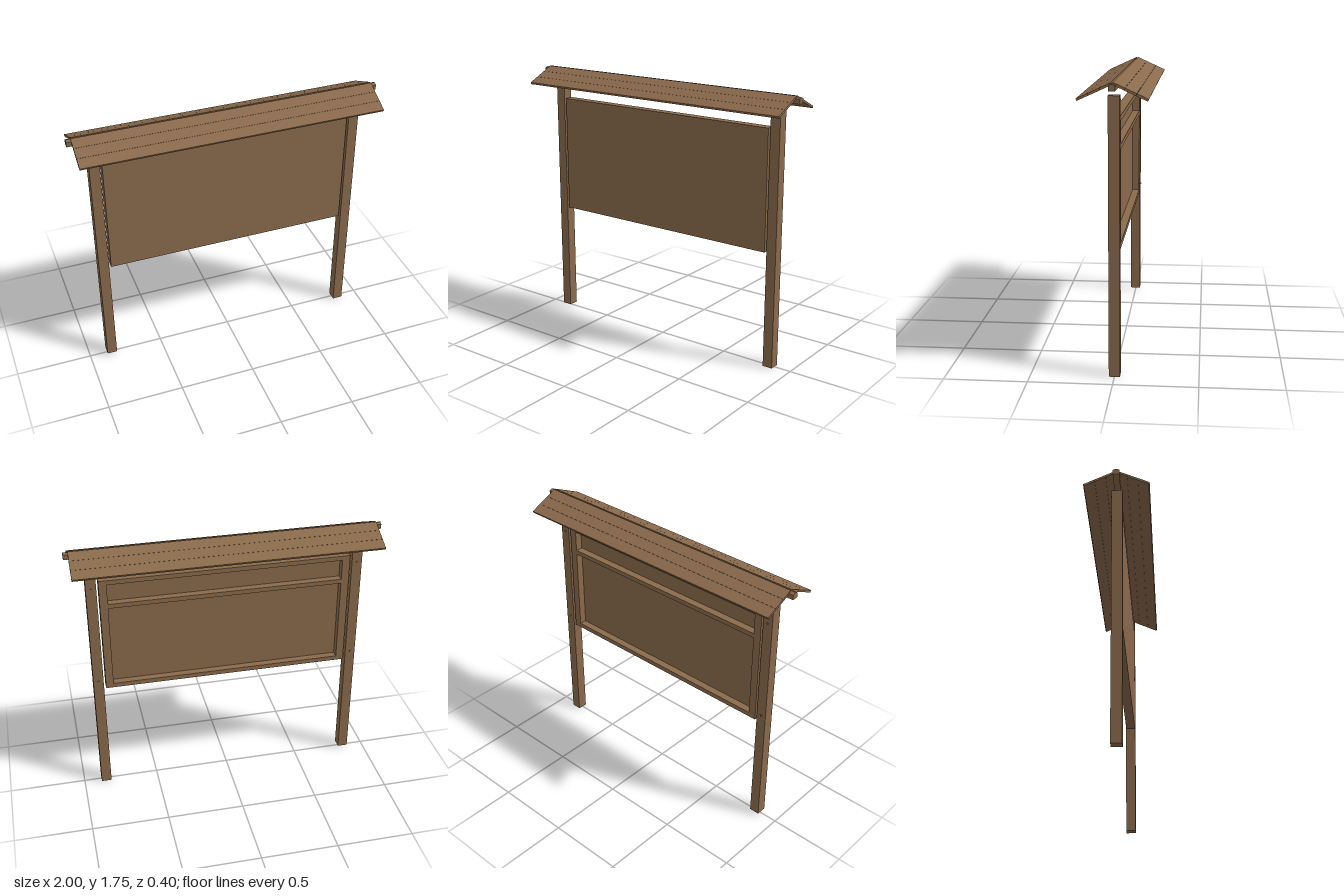
import * as THREE from 'three';

export function createModel() {
  const model = new THREE.Group();
  model.name = 'noticeBoard';
  const wood = new THREE.MeshStandardMaterial({ color: 0x8a6a4c, flatShading: true });
  wood.name = 'brown wood';

  const add = (name, geometry, parent = model) => {
    const mesh = new THREE.Mesh(geometry, wood);
    mesh.name = name;
    parent.add(mesh);
    return mesh;
  };
  // Box given by its limits on each axis
  const box = (name, [x0, x1], [y0, y1], [z0, z1], parent) => {
    const mesh = add(name, new THREE.BoxGeometry(x1 - x0, y1 - y0, z1 - z0), parent);
    mesh.position.set((x0 + x1) / 2, (y0 + y1) / 2, (z0 + z1) / 2);
    return mesh;
  };

  // Posts, the right one set slightly higher, with bolt heads on the back
  for (const side of [-1, 1]) {
    const name = side > 0 ? 'left' : 'right';
    const post = new THREE.Group();
    post.name = name + 'Post';
    model.add(post);
    const cx = side * 0.852;
    box(name + 'PostBeam', [cx - 0.033, cx + 0.033], [side > 0 ? 0 : 0.015, 1.665], [-0.033, 0.033], post);
    for (const y of [1.64, 1.49, 0.82]) {
      const bolt = add('boltHead', new THREE.CylinderGeometry(0.006, 0.006, 0.006, 10), post);
      bolt.rotation.x = Math.PI / 2;
      bolt.position.set(cx, y, -0.036);
    }
  }

  // Display panel and the frame behind it
  const board = new THREE.Group();
  board.name = 'board';
  model.add(board);
  box('panel', [-0.805, 0.805], [0.76, 1.54], [0.018, 0.032], board);
  const depth = [-0.03, 0.018];
  box('topRail', [-0.805, 0.805], [1.51, 1.54], depth, board);
  box('bottomRail', [-0.805, 0.805], [0.76, 0.79], depth, board);
  box('middleRail', [-0.755, 0.755], [1.345, 1.375], depth, board);
  for (const side of [-1, 1]) {
    const stile = box('sideStile', [-0.025, 0.025], [0.79, 1.51], depth, board);
    stile.position.x = side * 0.78;
  }

  // Ridge beam with a bevelled top
  const profile = new THREE.Shape([
    [-0.02, 1.702], [0.02, 1.702], [0.02, 1.733], [0, 1.741], [-0.02, 1.733],
  ].map(([z, y]) => new THREE.Vector2(z, y)));
  const ridge = add('ridgeBeam', new THREE.ExtrudeGeometry(profile, { depth: 2, bevelEnabled: false }));
  ridge.rotation.y = Math.PI / 2;
  ridge.position.x = -1;

  // Three planks on each roof slope
  const slope = 0.43;
  const pitch = 0.0725;
  for (const side of [-1, 1]) {
    const roof = new THREE.Group();
    roof.name = side > 0 ? 'frontRoof' : 'backRoof';
    roof.position.set(0, 1.747, side * 0.005);
    roof.rotation.x = side * slope;
    model.add(roof);
    for (let i = 0; i < 3; i++) {
      const plank = add('roofPlank', new THREE.BoxGeometry(1.94, 0.014, pitch - 0.001), roof);
      plank.position.set(0, -0.007, side * (i + 0.5) * pitch);
    }
  }
  return model;
}
